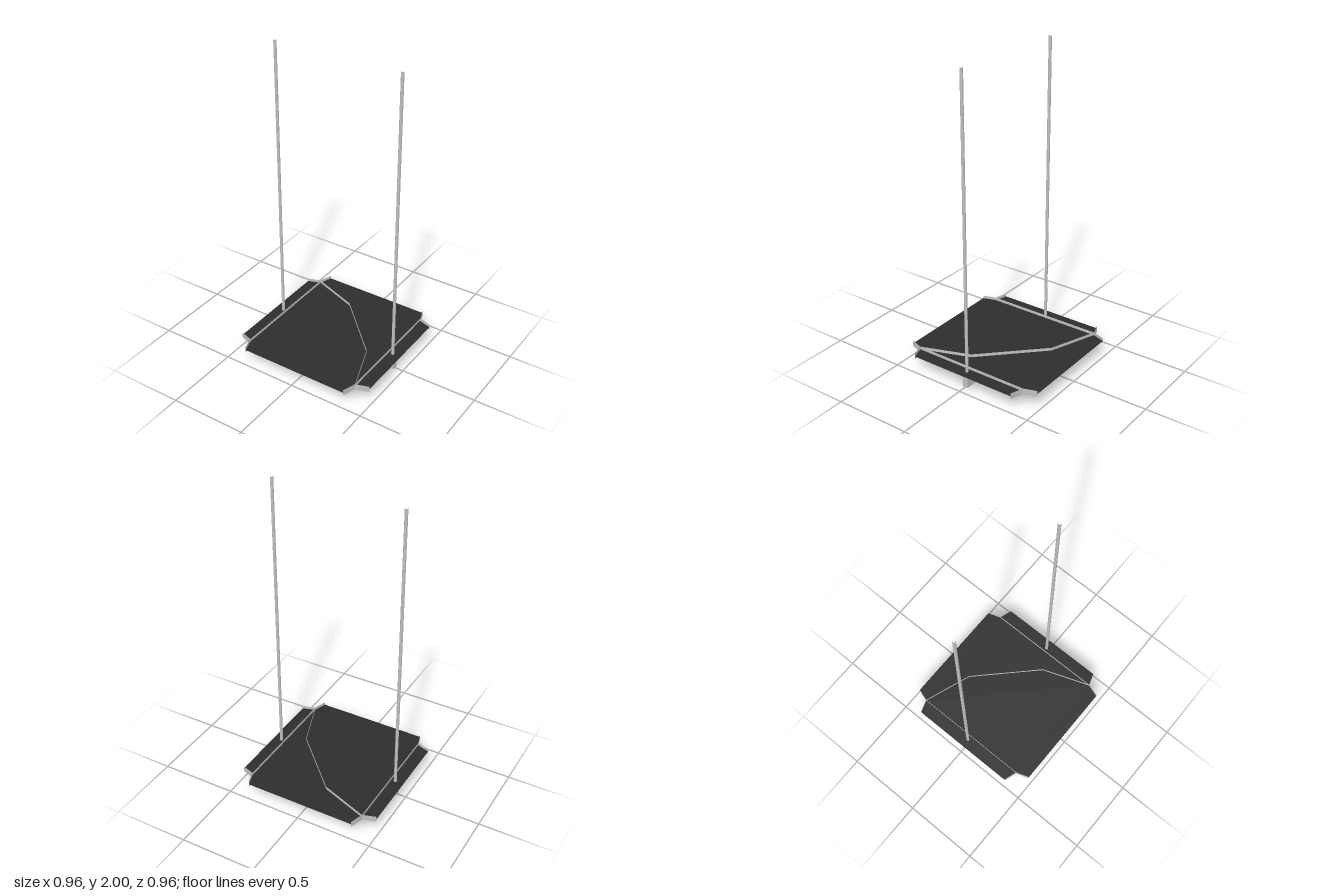
import * as THREE from 'three';

const steel = new THREE.MeshStandardMaterial({ color: 0xc0c0c0, side: THREE.DoubleSide });
steel.name = 'light grey steel';
const tubeSteel = new THREE.MeshStandardMaterial({ color: 0xc0c0c0, flatShading: true });
tubeSteel.name = 'grey tube steel';
const dark = new THREE.MeshStandardMaterial({ color: 0x2d2d2d, side: THREE.DoubleSide });
dark.name = 'dark sheet';

const Y0 = 0.08, Y1 = 0.12, DECK = 0.1;
const N = 0.395; // inner point of each corner notch
const LONG = 0.48, SHORT = 0.367; // tips beside the notch

export function createModel() {
  const model = new THREE.Group();
  model.name = 'platformWithPoles';

  const add = (name, geometry, material, x = 0, y = 0, z = 0) => {
    const mesh = new THREE.Mesh(geometry, material);
    mesh.name = name;
    mesh.position.set(x, y, z);
    model.add(mesh);
    return mesh;
  };

  // Thin upright walls following a path of [x, z] points
  const addWall = (name, path) => {
    for (let i = 0; i < path.length - 1; i++) {
      const [ax, az] = path[i], [bx, bz] = path[i + 1];
      const wall = new THREE.PlaneGeometry(Math.hypot(bx - ax, bz - az), Y1 - Y0);
      add(name, wall, steel, (ax + bx) / 2, (Y0 + Y1) / 2, (az + bz) / 2)
        .rotation.y = -Math.atan2(bz - az, bx - ax);
    }
  };

  // Flat strip on the underside between two [x, z] points
  const addStrip = (name, [ax, az], [bx, bz]) => {
    const strip = new THREE.BoxGeometry(Math.hypot(bx - ax, bz - az), 0.004, 0.036);
    add(name, strip, steel, (ax + bx) / 2, DECK - 0.004, (az + bz) / 2)
      .rotation.y = -Math.atan2(bz - az, bx - ax);
  };

  // Deck sheet with notched corners
  const outline = [
    [LONG, -SHORT], [LONG, SHORT], [N, N], [SHORT, LONG],
    [-SHORT, LONG], [-N, N], [-LONG, SHORT], [-LONG, -SHORT],
    [-N, -N], [-SHORT, -LONG], [SHORT, -LONG], [N, -N],
  ].map(([x, z]) => new THREE.Vector2(x, -z));
  const deck = new THREE.ShapeGeometry(new THREE.Shape(outline));
  deck.rotateX(-Math.PI / 2);
  add('deck', deck, dark, 0, DECK, 0);

  // Flared corner walls along each notch
  for (const sx of [-1, 1]) {
    for (const sz of [-1, 1]) {
      addWall('cornerWall', [[sx * LONG, sz * SHORT], [sx * N, sz * N], [sx * SHORT, sz * LONG]]);
    }
  }

  // Straight side walls and the bent wall joining opposite corners
  for (const s of [-1, 1]) addWall('sideWall', [[s * N, -N], [s * N, N]]);
  addWall('bentWall', [[-N, -N], [-0.08, -0.28], [0.28, 0.08], [N, N]]);

  // Braces under the deck
  for (const s of [-1, 1]) addStrip('crossBrace', [-N, s * 0.3], [N, s * 0.3]);
  addStrip('diagonalBrace', [-N, N], [0.1, -0.1]);

  // Bottom beam and the two open-ended poles standing on it
  add('bottomBeam', new THREE.BoxGeometry(0.885, 0.068, 0.036), steel, 0, 0.034, 0);
  for (const s of [-1, 1]) {
    add('pole', new THREE.CylinderGeometry(0.01, 0.01, 1.932, 10, 1, true), tubeSteel, s * 0.423, 1.034, 0);
  }

  return model;
}
